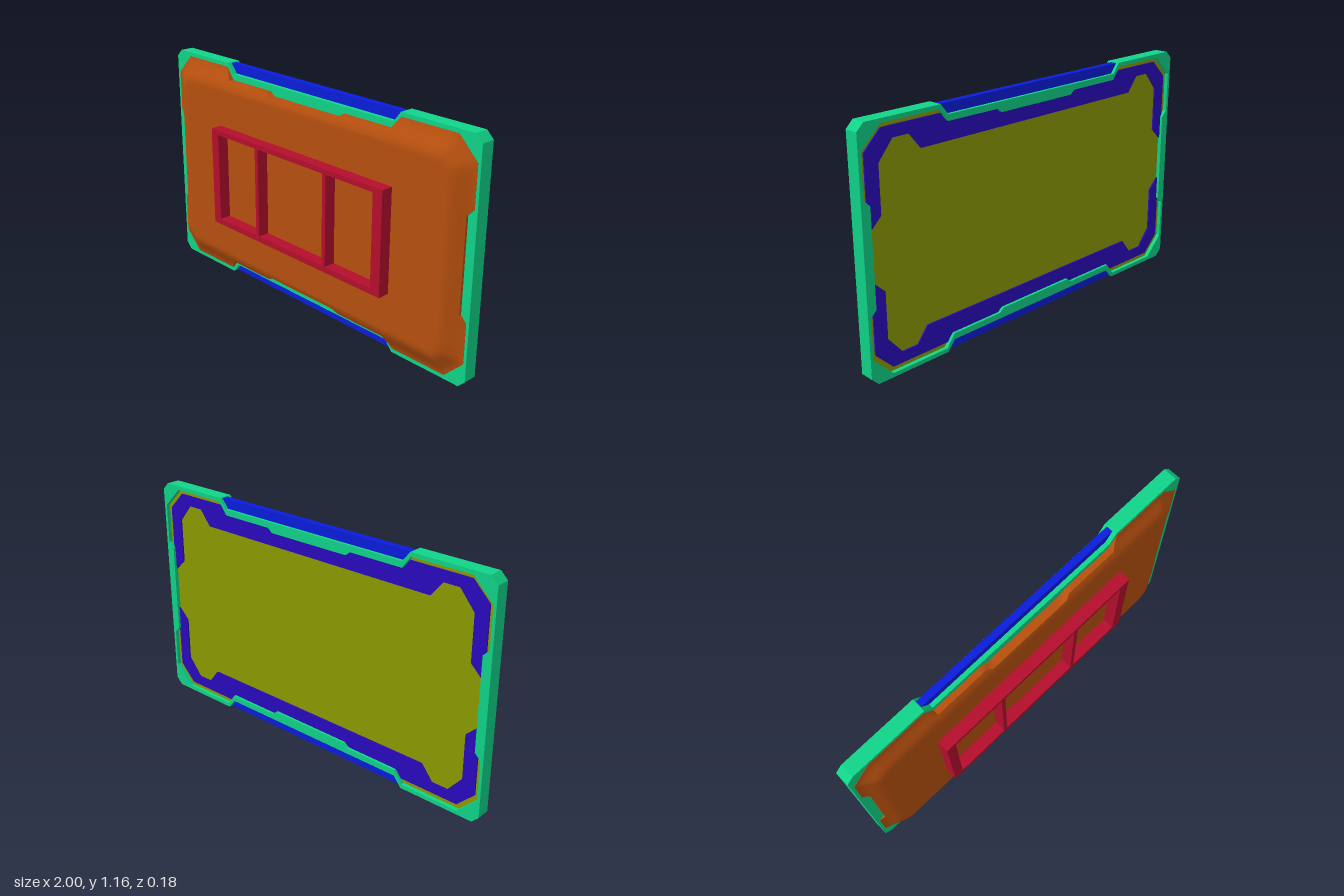
import * as THREE from 'three';
import { toCreasedNormals } from 'three/addons/utils/BufferGeometryUtils.js';

const mat = (color) => new THREE.MeshStandardMaterial({ color });

// Mirror one quadrant of corners (from the +x axis to the +y axis) into a closed outline
function mirror4(q) {
  const r = [...q].reverse();
  return [
    ...q,
    ...r.map(([x, y]) => [-x, y]),
    ...q.map(([x, y]) => [-x, -y]),
    ...r.map(([x, y]) => [x, -y]),
  ].map(([x, y]) => new THREE.Vector2(x, y));
}

// Flat plate between two depths, with an optional hole
function plate(name, outline, z0, z1, color, hole) {
  const shape = new THREE.Shape(outline);
  if (hole) shape.holes.push(new THREE.Path(hole));
  const geo = new THREE.ExtrudeGeometry(shape, { depth: z1 - z0, bevelEnabled: false });
  geo.translate(0, 0, z0);
  const mesh = new THREE.Mesh(geo, mat(color));
  mesh.name = name;
  return mesh;
}

// Quadrant corners of the outlines
const FRAME = mirror4([[1, 0.545], [0.965, 0.58], [0.575, 0.58], [0.535, 0.53]]);
const OPENING = mirror4([[0.955, 0.23], [0.985, 0.26], [0.985, 0.46], [0.885, 0.56],
  [0.58, 0.56], [0.535, 0.5], [0.25, 0.5], [0.225, 0.48]]);
const BEZEL = mirror4([[0.963, 0.45], [0.875, 0.538], [0.565, 0.538], [0.545, 0.51]]);
const WINDOW = mirror4([[0.957, 0.11], [0.895, 0.17], [0.895, 0.395], [0.82, 0.485],
  [0.735, 0.485], [0.675, 0.41]]);

// Domed cover: height follows the distance to a chamfered rectangle, cut by the notched outline
function coverGeometry() {
  const edge = [];
  OPENING.forEach((p, i) => {
    const n = OPENING[(i + 1) % OPENING.length];
    const steps = Math.max(1, Math.ceil(p.distanceTo(n) / 0.04));
    for (let s = 0; s < steps; s++) edge.push(p.clone().lerp(n, s / steps));
  });
  const height = (x, y) => {
    const ax = Math.abs(x), ay = Math.abs(y);
    const d = Math.min(0.985 - ax, 0.56 - ay, (1.445 - ax - ay) / Math.SQRT2);
    return -0.02 + 0.05 * THREE.MathUtils.smoothstep(d, -0.01, 0.115);
  };
  const pos = [], index = [], n = edge.length, rings = 10;
  edge.forEach((p) => pos.push(p.x, p.y, -0.03)); // foot of the side wall
  for (let r = 0; r <= rings; r++) {
    for (const p of edge) {
      const q = new THREE.Vector2(
        THREE.MathUtils.clamp(p.x, -0.84, 0.84), THREE.MathUtils.clamp(p.y, -0.42, 0.42));
      q.lerpVectors(p, q.clone(), r / rings);
      pos.push(q.x, q.y, height(q.x, q.y));
    }
  }
  for (let r = 0; r <= rings; r++) {
    for (let i = 0; i < n; i++) {
      const a = r * n + i, b = r * n + (i + 1) % n;
      index.push(a, b, b + n, a, b + n, a + n);
    }
  }
  // flat middle
  const centre = pos.length / 3, last = (rings + 1) * n;
  pos.push(0, 0, 0.03);
  for (let i = 0; i < n; i++) index.push(last + i, last + (i + 1) % n, centre);
  const geo = new THREE.BufferGeometry();
  geo.setAttribute('position', new THREE.Float32BufferAttribute(pos, 3));
  geo.setIndex(index);
  return toCreasedNormals(geo, 0.7);
}

export function createModel() {
  const model = new THREE.Group();
  model.name = 'panelDevice';
  const body = new THREE.Group();
  body.name = 'body';
  body.position.y = 0.58;
  model.add(body);

  // Outer frame and the layers seen from behind
  body.add(plate('frame', FRAME, -0.09, -0.02, 0x10d488, OPENING));
  body.add(plate('gasket', OPENING, -0.07, -0.05, 0x8c9a00, WINDOW));
  body.add(plate('bezel', BEZEL, -0.077, -0.05, 0x2a0abe, WINDOW));
  body.add(plate('screen', OPENING, -0.055, -0.035, 0xa80a0c));

  // Domed front cover
  const cover = new THREE.Mesh(coverGeometry(), mat(0xb8500e));
  cover.name = 'cover';
  body.add(cover);

  // Strips filling the long recesses above and below
  for (const s of [1, -1]) {
    const strip = [[0.572, 0.577], [0.532, 0.525], [-0.532, 0.525], [-0.572, 0.577]]
      .map(([x, y]) => new THREE.Vector2(x, y * s));
    body.add(plate(s > 0 ? 'topStrip' : 'bottomStrip', strip, -0.075, -0.042, 0x0a1cdc));
  }

  // Raised rack with three compartments
  const rect = (x0, x1, y0, y1) => [[x0, y0], [x1, y0], [x1, y1], [x0, y1]]
    .map(([x, y]) => new THREE.Vector2(x, y));
  const rack = new THREE.Group();
  rack.name = 'rack';
  const red = 0xb40e2c;
  rack.add(plate('rackBorder', rect(-0.585, 0.585, -0.255, 0.26), 0.02, 0.09, red,
    rect(-0.535, 0.53, -0.225, 0.235)));
  for (const x of [-0.24, 0.23]) {
    rack.add(plate('rackDivider', rect(x - 0.011, x + 0.011, -0.23, 0.24), 0.02, 0.09, red));
  }
  body.add(rack);
  return model;
}
